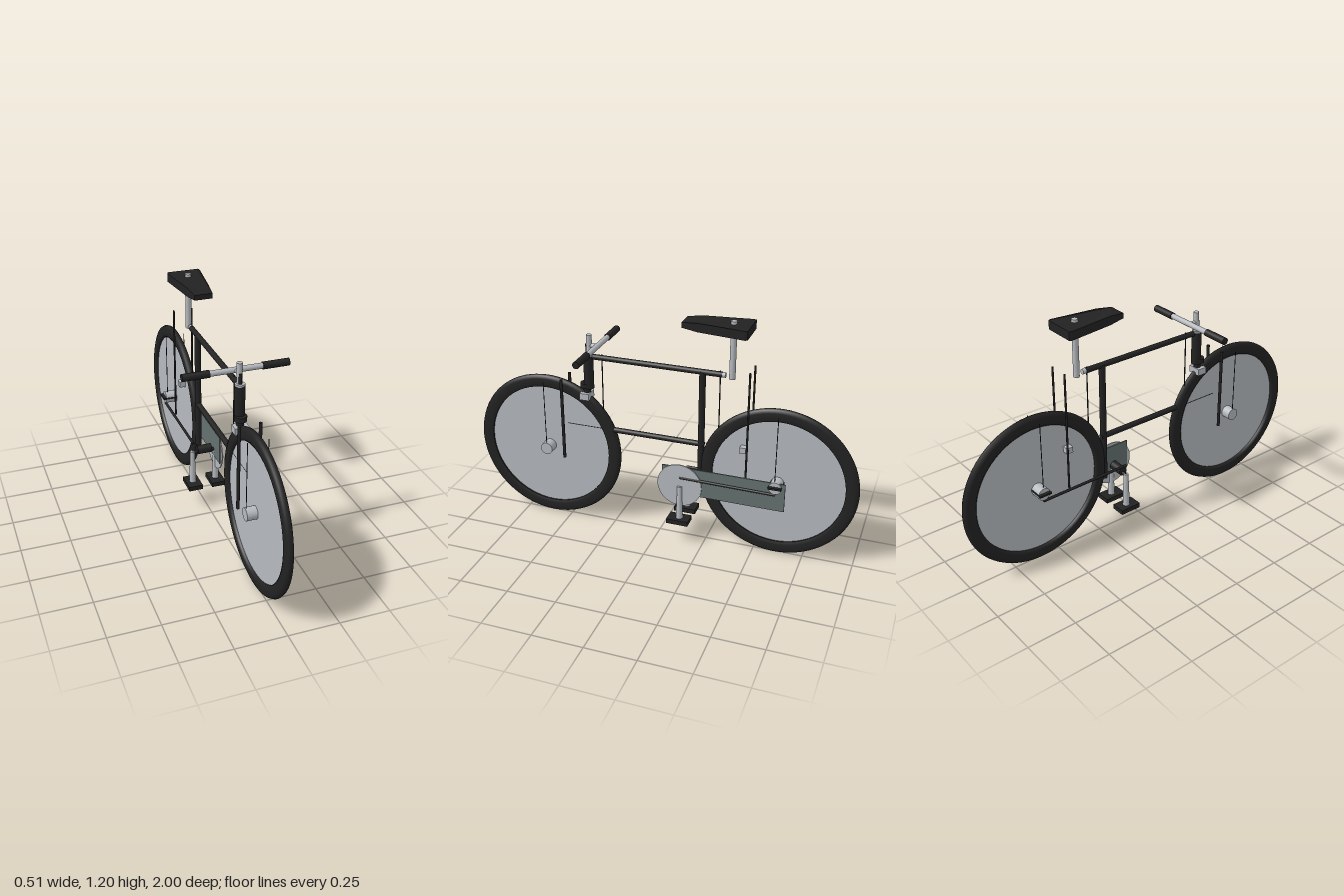
import * as THREE from 'three';

const mat = (name, color, side = THREE.FrontSide) => {
  const m = new THREE.MeshStandardMaterial({ color, side });
  m.name = name;
  return m;
};

export function createModel() {
  const black = mat('black', 0x222222);
  const silver = mat('silver', 0xb6babf);
  const slate = mat('slate', 0x65716f);
  const bike = new THREE.Group();
  bike.name = 'bicycle';

  const add = (name, geometry, material, parent = bike) => {
    const mesh = new THREE.Mesh(geometry, material);
    mesh.name = name;
    parent.add(mesh);
    return mesh;
  };
  // Round bar between two points, optionally tapered
  const bar = (name, a, b, r, material, rEnd = r, sides = 20) => {
    const from = new THREE.Vector3(...a), to = new THREE.Vector3(...b);
    const dir = to.clone().sub(from);
    const mesh = add(name, new THREE.CylinderGeometry(rEnd, r, dir.length(), sides), material);
    mesh.position.copy(from).add(to).multiplyScalar(0.5);
    mesh.quaternion.setFromUnitVectors(new THREE.Vector3(0, 1, 0), dir.normalize());
    return mesh;
  };
  const box = (name, size, pos, material) => {
    const mesh = add(name, new THREE.BoxGeometry(...size), material);
    mesh.position.set(...pos);
    return mesh;
  };

  // Wheels: tyre ring with softened shoulders and a solid disc
  const axleY = 0.395, axleZ = 0.605;
  const tyreProfile = [
    [0.33, -0.012], [0.345, -0.018], [0.375, -0.018], [0.39, -0.012], [0.395, 0],
    [0.39, 0.012], [0.375, 0.018], [0.345, 0.018], [0.33, 0.012], [0.33, -0.012],
  ].map(([r, x]) => new THREE.Vector2(r, x));
  for (const [end, s] of [['front', 1], ['rear', -1]]) {
    const wheel = new THREE.Group();
    wheel.name = end + 'Wheel';
    wheel.position.set(0, axleY, s * axleZ);
    wheel.rotation.z = Math.PI / 2;
    add(end + 'Tyre', new THREE.LatheGeometry(tyreProfile, 80), black, wheel);
    add(end + 'Disc', new THREE.CylinderGeometry(0.334, 0.334, 0.008, 80), silver, wheel);
    const half = s > 0 ? 0.056 : 0.064;
    add(end + 'Hub', new THREE.CylinderGeometry(0.032, 0.032, half * 2, 28), silver, wheel);
    bike.add(wheel);
  }
  box('rearDropout', [0.16, 0.01, 0.065], [0, axleY + 0.004, -axleZ], black);

  // Frame tubes
  bar('topTube', [0, 0.922, 0.35], [0, 0.922, -0.31], 0.014, black);
  bar('topTubeEnd', [0, 0.922, -0.305], [0, 0.922, -0.327], 0.013, silver);
  bar('seatTube', [0, 0.3, -0.213], [0, 0.925, -0.213], 0.016, black);
  bar('middleTube', [0, 0.538, 0.25], [0, 0.538, -0.228], 0.014, black);
  bar('headTube', [0, 0.752, 0.375], [0, 0.925, 0.375], 0.025, black);
  bar('headCollar', [0, 0.925, 0.375], [0, 0.935, 0.375], 0.024, silver);
  bar('forkCrown', [0, 0.755, 0.39], [0, 0.78, 0.39], 0.03, black);
  bar('crownNeck', [0, 0.728, 0.385], [0, 0.756, 0.385], 0.018, black);
  box('frontBrake', [0.07, 0.035, 0.05], [0, 0.712, 0.39], silver);
  box('rearBrake', [0.07, 0.03, 0.035], [0, 0.555, -0.433], silver);

  // Handlebar and stem
  bar('stem', [0, 0.935, 0.368], [0, 1.035, 0.368], 0.014, silver);
  bar('stemBolt', [0, 0.935, 0.38], [0, 0.985, 0.38], 0.008, black);
  bar('stemClamp', [0, 0.98, 0.37], [0, 0.98, 0.328], 0.011, silver);
  bar('handlebar', [-0.25, 0.98, 0.325], [0.25, 0.98, 0.325], 0.014, silver);

  // Seat post and tapered saddle
  bar('seatPost', [0, 0.907, -0.358], [0, 1.195, -0.358], 0.015, silver);
  const outline = new THREE.Shape([
    [-0.045, 0.12], [0.045, 0.12], [0.055, 0.2], [0.085, 0.43],
    [0.08, 0.443], [-0.08, 0.443], [-0.085, 0.43], [-0.055, 0.2],
  ].map((p) => new THREE.Vector2(...p)));
  const saddleGeo = new THREE.ExtrudeGeometry(outline, { depth: 0.044, bevelEnabled: false });
  saddleGeo.rotateX(-Math.PI / 2);
  // Thin the nose of the saddle
  const p = saddleGeo.attributes.position;
  for (let i = 0; i < p.count; i++) {
    if (p.getZ(i) > -0.18) p.setY(i, 0.022 + (p.getY(i) - 0.022) * 0.6);
  }
  saddleGeo.computeVertexNormals();
  add('saddle', saddleGeo, black).position.y = 1.139;

  // Paired parts on each side
  for (const [side, s] of [['left', 1], ['right', -1]]) {
    bar(side + 'Grip', [s * 0.127, 0.98, 0.325], [s * 0.256, 0.98, 0.325], 0.018, black);
    bar(side + 'ForkBlade', [s * 0.051, 0.362, 0.505], [s * 0.051, 0.795, 0.505], 0.008, black);
    bar(side + 'SeatStay', [s * 0.048, 0.36, -0.455], [s * 0.048, 0.968, -0.455], 0.005, black);
    bar(side + 'ChainStay', [s * 0.059, 0.362, -0.122], [s * 0.059, 0.357, -0.608], 0.007, black);
    bar(side + 'FrontStrut', [s * 0.05, 0.4, 0.605], [s * 0.05, 0.765, 0.605], 0.002, black, 0.002, 8);
    bar(side + 'RearStrut', [s * 0.05, 0.4, -0.6], [s * 0.05, 0.765, -0.6], 0.002, black, 0.002, 8);
    bar(side + 'Crank', [s * 0.063, 0.13, -0.125], [s * 0.063, 0.315, -0.125], 0.018, silver, 0.012);
    box(side + 'Pedal', [0.074, 0.024, 0.112], [s * 0.063, 0.122, -0.123], black);
  }

  // Drivetrain
  bar('bottomBracket', [-0.038, 0.318, -0.125], [0.038, 0.318, -0.125], 0.023, black);
  bar('crankAxle', [-0.063, 0.308, -0.125], [0.063, 0.308, -0.125], 0.009, black);
  box('chainGuard', [0.006, 0.15, 0.625], [0.055, 0.345, -0.342], slate);
  bar('chainring', [0.057, 0.32, -0.123], [0.063, 0.32, -0.123], 0.115, silver, 0.115, 48);

  // Thin cables
  bar('frontCable', [0, 0.645, 0.302], [0, 0.94, 0.302], 0.003, black, 0.003, 8);
  bar('rearCable', [0, 0.54, -0.3], [0, 0.94, -0.3], 0.003, black, 0.003, 8);
  bar('middleCable', [0, 0.538, 0.25], [0, 0.538, 0.5], 0.005, black, 0.005, 8);

  return bike;
}
